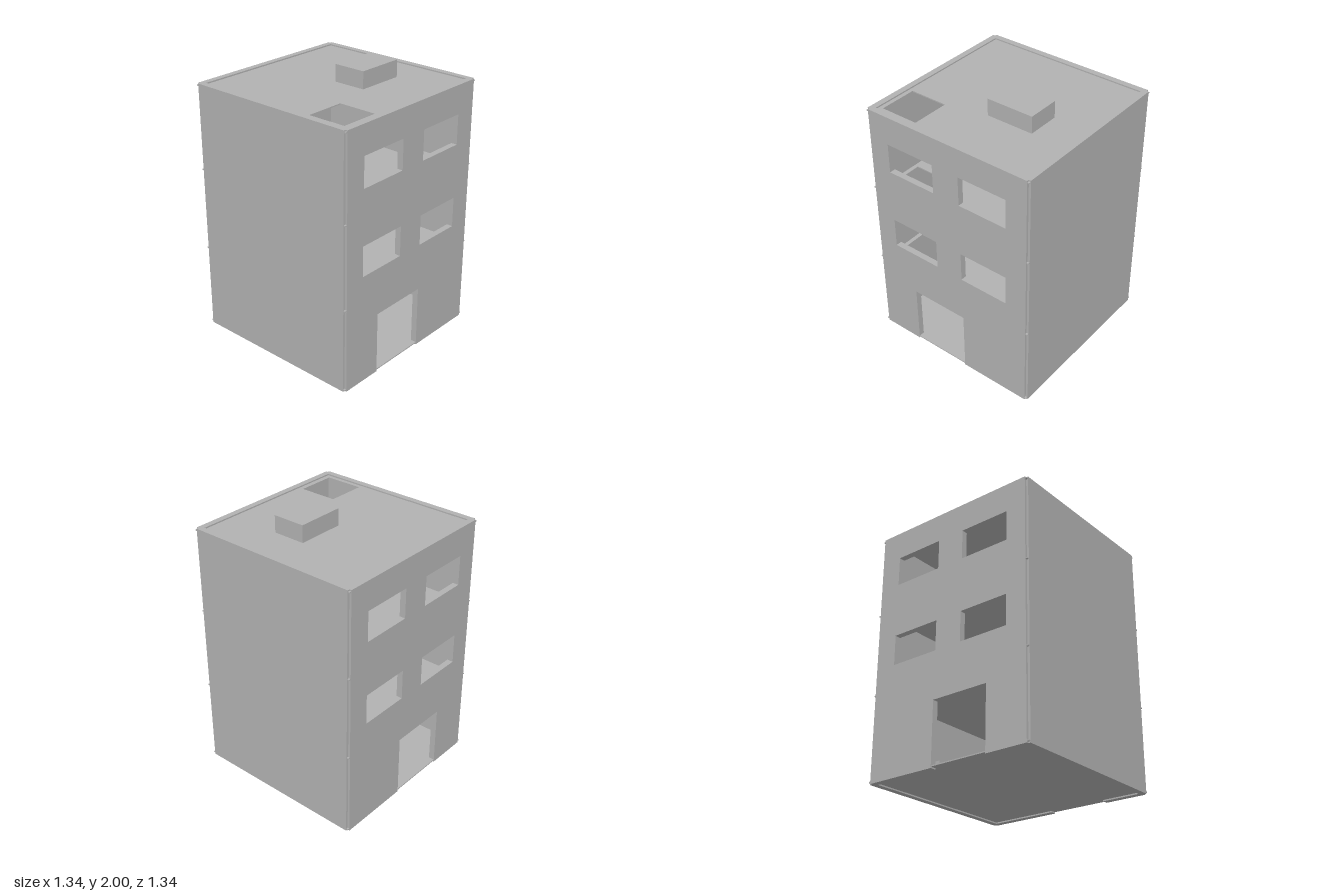
import * as THREE from 'three';

const HALF = 0.67;      // half width of the building
const TOP = 1.885;      // top of the walls
const WALL = 0.045;     // wall thickness
const NOTCH = 0.016;    // open slot at each corner
const STOREY = 0.625;
const SLAB = 0.008;

const grey = new THREE.MeshStandardMaterial({ color: 0xb2b2b2 });
grey.name = 'concrete grey';

function rectHole(x0, x1, y0, y1) {
  return new THREE.Path([
    new THREE.Vector2(x0, y0), new THREE.Vector2(x0, y1),
    new THREE.Vector2(x1, y1), new THREE.Vector2(x1, y0),
  ]);
}

function extrude(shape, depth) {
  return new THREE.ExtrudeGeometry(shape, { depth, bevelEnabled: false });
}

function box(name, x0, x1, y0, y1, z0, z1) {
  const mesh = new THREE.Mesh(new THREE.BoxGeometry(x1 - x0, y1 - y0, z1 - z0), grey);
  mesh.position.set((x0 + x1) / 2, (y0 + y1) / 2, (z0 + z1) / 2);
  mesh.name = name;
  return mesh;
}

// Facade with a doorway notch and two rows of windows
function facadeGeometry() {
  const w = HALF - NOTCH;
  const shape = new THREE.Shape([
    [-w, 0], [-0.337, 0], [-0.337, 0.465], [0.11, 0.465],
    [0.11, 0], [w, 0], [w, TOP], [-w, TOP],
  ].map(([x, y]) => new THREE.Vector2(x, y)));
  for (const [y0, y1] of [[0.82, 1.045], [1.45, 1.672]]) {
    shape.holes.push(rectHole(-0.497, -0.11, y0, y1), rectHole(0.107, 0.49, y0, y1));
  }
  return extrude(shape, WALL);
}

// Thin square floor plate, optionally with a hatch opening
function slab(name, y, hatch) {
  const s = HALF - 0.002;
  const shape = new THREE.Shape([
    new THREE.Vector2(-s, -s), new THREE.Vector2(s, -s),
    new THREE.Vector2(s, s), new THREE.Vector2(-s, s),
  ]);
  if (hatch) shape.holes.push(rectHole(-0.595, -0.307, -0.59, -0.303));
  const mesh = new THREE.Mesh(extrude(shape, SLAB), grey);
  mesh.rotation.x = -Math.PI / 2;
  mesh.position.y = y;
  mesh.name = name;
  return mesh;
}

export function createModel() {
  const building = new THREE.Group();
  building.name = 'building';

  // Front and back walls
  const facade = facadeGeometry();
  for (const [name, z] of [['frontWall', HALF - WALL], ['backWall', -HALF]]) {
    const wall = new THREE.Mesh(facade, grey);
    wall.position.z = z;
    wall.name = name;
    building.add(wall);
  }

  // Plain side walls
  const w = HALF - NOTCH;
  building.add(
    box('leftWall', HALF - WALL, HALF, 0, TOP, -w, w),
    box('rightWall', -HALF, -HALF + WALL, 0, TOP, -w, w),
  );

  // Ground plate, two upper floors and roof, with hatches above the ground
  ['groundFloor', 'firstFloor', 'secondFloor', 'roof'].forEach((name, i) => {
    const y = 0.01 + i * 0.619;
    building.add(slab(name, y, i > 0));
    // Low block against the left wall of each storey
    if (i < 3) {
      building.add(box('interiorBlock', 0.487, HALF - WALL, y + SLAB, i * STOREY + 0.26, -0.18, 0.18));
    }
  });

  // Roof box
  building.add(box('roofBox', 0, 0.357, 1.87, 2, -0.012, 0.233));

  return building;
}
